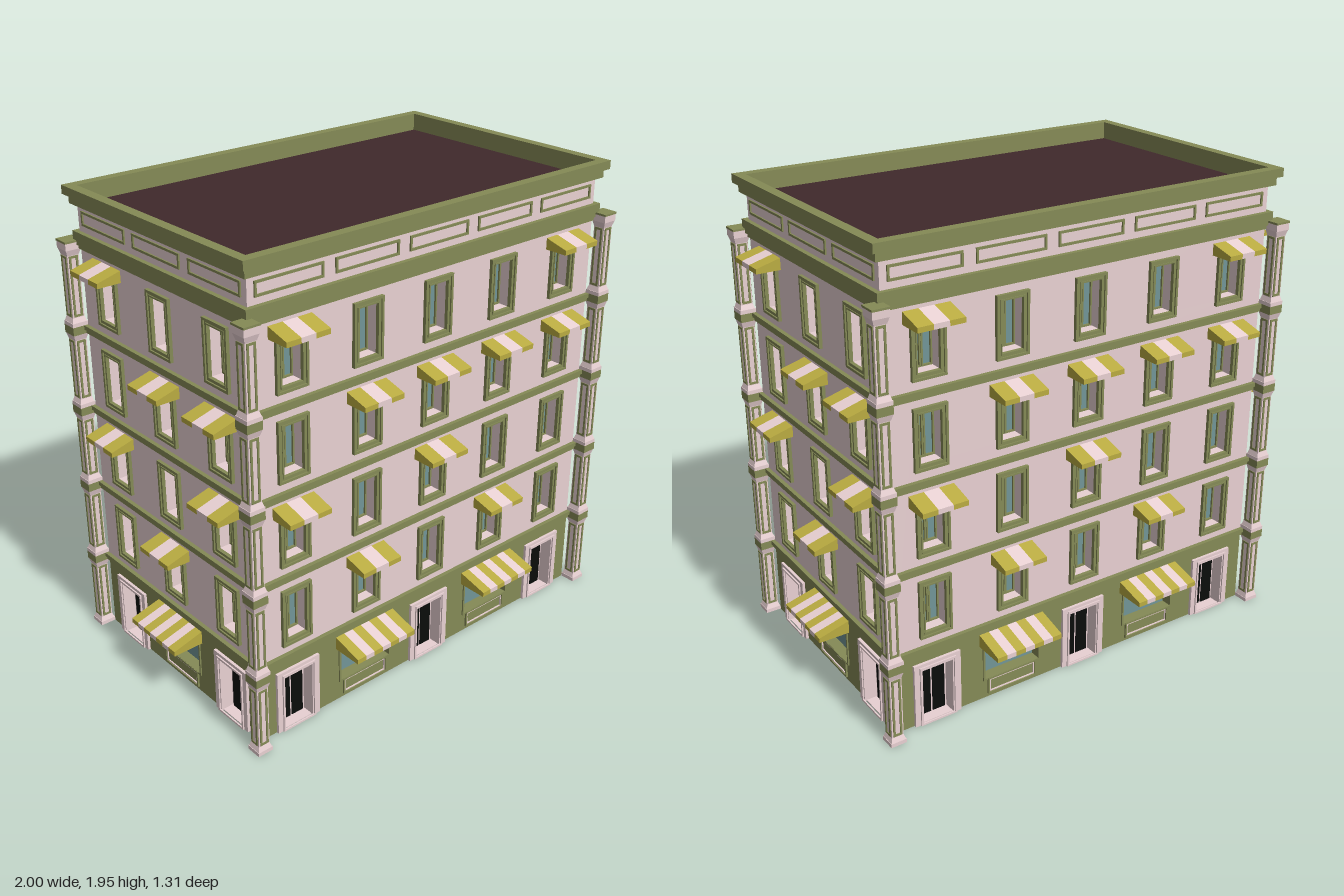
import * as THREE from 'three';

const W = 0.87, D = 0.523, STEP = 0.347; // half width, half depth, bay and storey pitch
const mat = (color) => new THREE.MeshStandardMaterial({ color, side: THREE.DoubleSide });
const pink = mat(0xe9d1d3), green = mat(0x858a56), teal = mat(0x729597);
const yellow = mat(0xbaac41), dark = mat(0x0a0d0b), brown = mat(0x40292b);

function add(parent, name, geometry, material, x = 0, y = 0, z = 0) {
  const m = new THREE.Mesh(geometry, material);
  m.name = name;
  m.position.set(x, y, z);
  parent.add(m);
  return m;
}
const box = (parent, name, w, h, d, material, x, y, z) =>
  add(parent, name, new THREE.BoxGeometry(w, h, d), material, x, y, z);

const extrude = (shape, depth) => new THREE.ExtrudeGeometry(shape, { depth, bevelEnabled: false });
const outline = (points) => new THREE.Shape(points.map(([a, b]) => new THREE.Vector2(a, b)));

function rectPoints(w, h, x = 0, y = 0) {
  return [[-1, -1], [1, -1], [1, 1], [-1, 1]].map(([a, b]) => new THREE.Vector2(x + a * w / 2, y + b * h / 2));
}
function rectShape(w, h, x, y, holes = []) {
  const s = new THREE.Shape(rectPoints(w, h, x, y));
  s.holes = holes.map((p) => new THREE.Path(p.slice().reverse()));
  return s;
}
// rectangular frame, border t, running from z0 to z1
function frame(parent, name, w, h, t, z0, z1, material, x = 0, y = 0) {
  const s = rectShape(w, h, 0, 0, [rectPoints(w - 2 * t, h - 2 * t)]);
  return add(parent, name, extrude(s, z1 - z0), material, x, y, z0);
}
function group(parent, name, x = 0, y = 0, z = 0) {
  const g = new THREE.Group();
  g.name = name;
  g.position.set(x, y, z);
  parent.add(g);
  return g;
}

// horizontal ring all round the building, from inset to out of the wall plane
function moulding(parent, name, y0, y1, out, inset = -0.001) {
  const s = rectShape(2 * (W + out), 2 * (D + out), 0, 0, [rectPoints(2 * (W - inset), 2 * (D - inset))]);
  const g = extrude(s, y1 - y0);
  g.rotateX(-Math.PI / 2);
  add(parent, name, g, green, 0, y0, 0);
}

// window with stepped surround, deep reveal and two casements
function buildWindow(parent, x, y) {
  const g = group(parent, 'window', x, y);
  frame(g, 'windowSurround', 0.14, 0.245, 0.01, -0.002, 0.014, green);
  frame(g, 'windowMoulding', 0.12, 0.225, 0.008, -0.002, 0.008, green);
  frame(g, 'windowBead', 0.104, 0.209, 0.006, -0.004, 0.011, green);
  frame(g, 'windowReveal', 0.1, 0.205, 0.004, -0.056, -0.004, pink);
  box(g, 'windowGlass', 0.092, 0.197, 0.002, teal, 0, 0, -0.055);
  for (const s of [-1, 1]) frame(g, 'casement', 0.045, 0.196, 0.007, -0.054, -0.046, green, s * 0.0232, 0);
}

// door with wide surround, threshold and two dark leaves
function buildDoor(parent, x) {
  const g = group(parent, 'door', x);
  for (const s of [-1, 1]) {
    box(g, 'doorJamb', 0.036, 0.275, 0.068, pink, s * 0.085, 0.1375, -0.022);
    box(g, 'doorLeaf', 0.055, 0.228, 0.014, dark, s * 0.0315, 0.118, -0.048);
  }
  box(g, 'doorLintel', 0.134, 0.03, 0.068, pink, 0, 0.26, -0.022);
  box(g, 'doorThreshold', 0.134, 0.004, 0.06, pink, 0, 0.002, -0.026);
  frame(g, 'doorMoulding', 0.16, 0.262, 0.008, 0.012, 0.018, pink, 0, 0.131);
  frame(g, 'doorFrame', 0.134, 0.245, 0.013, -0.054, -0.044, pink, 0, 0.1225);
  box(g, 'doorMullion', 0.008, 0.228, 0.01, pink, 0, 0.118, -0.049);
}

// shop window above a panelled stall riser
function buildShopWindow(parent, x) {
  const g = group(parent, 'shopWindow', x);
  frame(g, 'shopReveal', 0.272, 0.182, 0.008, -0.045, 0.006, green, 0, 0.173);
  box(g, 'shopGlass', 0.26, 0.168, 0.002, teal, 0, 0.173, -0.042);
  frame(g, 'riserPanel', 0.23, 0.074, 0.007, 0, 0.008, green, 0, 0.052);
  frame(g, 'riserPanelInner', 0.212, 0.056, 0.004, 0, 0.005, pink, 0, 0.052);
}

// striped awning: sloping sheet with a short valance, yellow lining and cheeks
function buildAwning(parent, x, y, width, out, drop, stripes) {
  const g = group(parent, 'awning', x, y);
  const low = -drop - 0.02, back = out - 0.005;
  const sheet = outline([[0, 0], [out, -drop], [out, low], [back, low], [back, -drop - 0.004], [0, -0.005]]);
  const lining = outline([[0, -0.005], [back, -drop - 0.004], [back, -drop - 0.008], [0, -0.009]]);
  const cheek = outline([[0, -0.005], [back, -drop - 0.004], [back, low], [0, low]]);
  const piece = (name, shape, length, material, right) => {
    const geo = extrude(shape, length);
    geo.rotateY(-Math.PI / 2); // profile x becomes z, extrusion runs to -x
    add(g, name, geo, material, right, 0, 0);
  };
  const w = width / stripes;
  for (let i = 0; i < stripes; i++) {
    piece('awningStripe', sheet, w, i % 2 ? pink : yellow, -width / 2 + w * (i + 1));
  }
  piece('awningLining', lining, width, yellow, width / 2);
  piece('awningCheek', cheek, 0.004, yellow, width / 2);
  piece('awningCheek', cheek, 0.004, yellow, -width / 2 + 0.004);
}

// one facade in its own plane; awnings lists the shaded bays of each storey
function buildFacade(parent, name, half, bays, doorBays, awnings) {
  const f = group(parent, name);
  const windowY = (i) => 0.508 + i * STEP;
  const pinkHoles = [], greenHoles = [];
  for (const b of bays) {
    const x = b * STEP;
    for (let i = 0; i < 4; i++) {
      pinkHoles.push(rectPoints(0.1, 0.205, x, windowY(i)));
      buildWindow(f, x, windowY(i));
      if (awnings[i].includes(b)) buildAwning(f, x, windowY(i) + 0.137, 0.19, 0.1, 0.027, 3);
    }
    if (doorBays.includes(b)) {
      greenHoles.push(rectPoints(0.15, 0.25, x, 0.126));
      buildDoor(f, x);
    } else {
      greenHoles.push(rectPoints(0.262, 0.172, x, 0.173));
      buildShopWindow(f, x);
      buildAwning(f, x, 0.3, 0.3, 0.13, 0.034, 7);
    }
    frame(f, 'parapetPanel', 0.295, 0.057, 0.009, 0, 0.006, green, x, 1.829);
  }
  add(f, 'groundWall', new THREE.ShapeGeometry(rectShape(2 * half, 0.33, 0, 0.165, greenHoles)), green);
  add(f, 'upperWall', new THREE.ShapeGeometry(rectShape(2 * half, 1.56, 0, 1.11, pinkHoles)), pink);
  return f;
}

// corner pillar, one panelled shaft per storey
function buildPillar(parent, x, z) {
  const p = group(parent, 'cornerPillar', x, 0, z);
  const flare = (name, bottom, top, h, y) => {
    const g = new THREE.CylinderGeometry(top * Math.SQRT2, bottom * Math.SQRT2, h, 4, 1).toNonIndexed();
    g.rotateY(Math.PI / 4);
    g.computeVertexNormals();
    add(p, name, g, pink, 0, y + h / 2, 0);
  };
  for (let i = 0; i < 5; i++) {
    const y0 = i ? 0.35 + (i - 1) * STEP : 0, y1 = 0.35 + i * STEP;
    const h = y1 - y0;
    box(p, 'pillarPlinth', 0.066, 0.016, 0.066, pink, 0, y0 + 0.008, 0);
    flare('pillarBase', 0.031, 0.025, 0.02, y0 + 0.016);
    box(p, 'pillarShaft', 0.05, h - 0.09, 0.05, pink, 0, y0 + 0.036 + (h - 0.09) / 2, 0);
    flare('pillarCapital', 0.025, 0.032, 0.024, y1 - 0.058);
    box(p, 'pillarBand', 0.066, 0.034, 0.066, i < 4 ? green : pink, 0, y1 - 0.017, 0);
    for (let k = 0; k < 4; k++) {
      const side = group(p, 'shaftPanel', 0, y0 + h / 2 - 0.01, 0);
      side.rotation.y = k * Math.PI / 2;
      frame(side, 'shaftPanelFrame', 0.038, h - 0.1, 0.009, 0.024, 0.028, green);
    }
  }
  box(p, 'pillarTop', 0.07, 0.008, 0.07, green, 0, 1.736, 0);
}

export function createModel() {
  const model = new THREE.Group();
  model.name = 'apartmentBuilding';

  // opposite facades repeat by half a turn
  const longAwnings = [[-1, 1], [-2, 0], [-1, 0, 1, 2], [-2, 2]];
  const shortAwnings = [[0], [-1, 1], [0, 1], [-1]];
  for (const s of [1, -1]) {
    const turn = s > 0 ? 0 : Math.PI;
    const long = buildFacade(model, s > 0 ? 'frontFacade' : 'backFacade', W, [-2, -1, 0, 1, 2], [-2, 0, 2], longAwnings);
    long.position.z = s * D;
    long.rotation.y = turn;
    const short = buildFacade(model, s > 0 ? 'leftFacade' : 'rightFacade', D, [-1, 0, 1], [-1, 1], shortAwnings);
    short.position.x = s * W;
    short.rotation.y = turn + Math.PI / 2;
  }

  // storey mouldings, each with a lower and a deeper upper fillet
  for (let i = 0; i < 5; i++) {
    const y = 0.316 + i * STEP;
    moulding(model, 'storeyFillet', y, y + 0.016, 0.01);
    moulding(model, 'storeyMoulding', y + 0.016, y + 0.034, 0.018);
  }

  // parapet cornices, inner lining and roof
  moulding(model, 'lowerCornice', 1.738, 1.774, 0.02);
  moulding(model, 'upperCornice', 1.88, 1.915, 0.022);
  moulding(model, 'copingCornice', 1.915, 1.95, 0.039);
  moulding(model, 'parapetLining', 1.875, 1.95, 0.001, 0.003);
  const roof = add(model, 'roof', new THREE.PlaneGeometry(2 * W, 2 * D), brown, 0, 1.878, 0);
  roof.rotation.x = -Math.PI / 2;

  for (const sx of [-1, 1]) for (const sz of [-1, 1]) buildPillar(model, sx * 0.903, sz * 0.557);
  return model;
}
